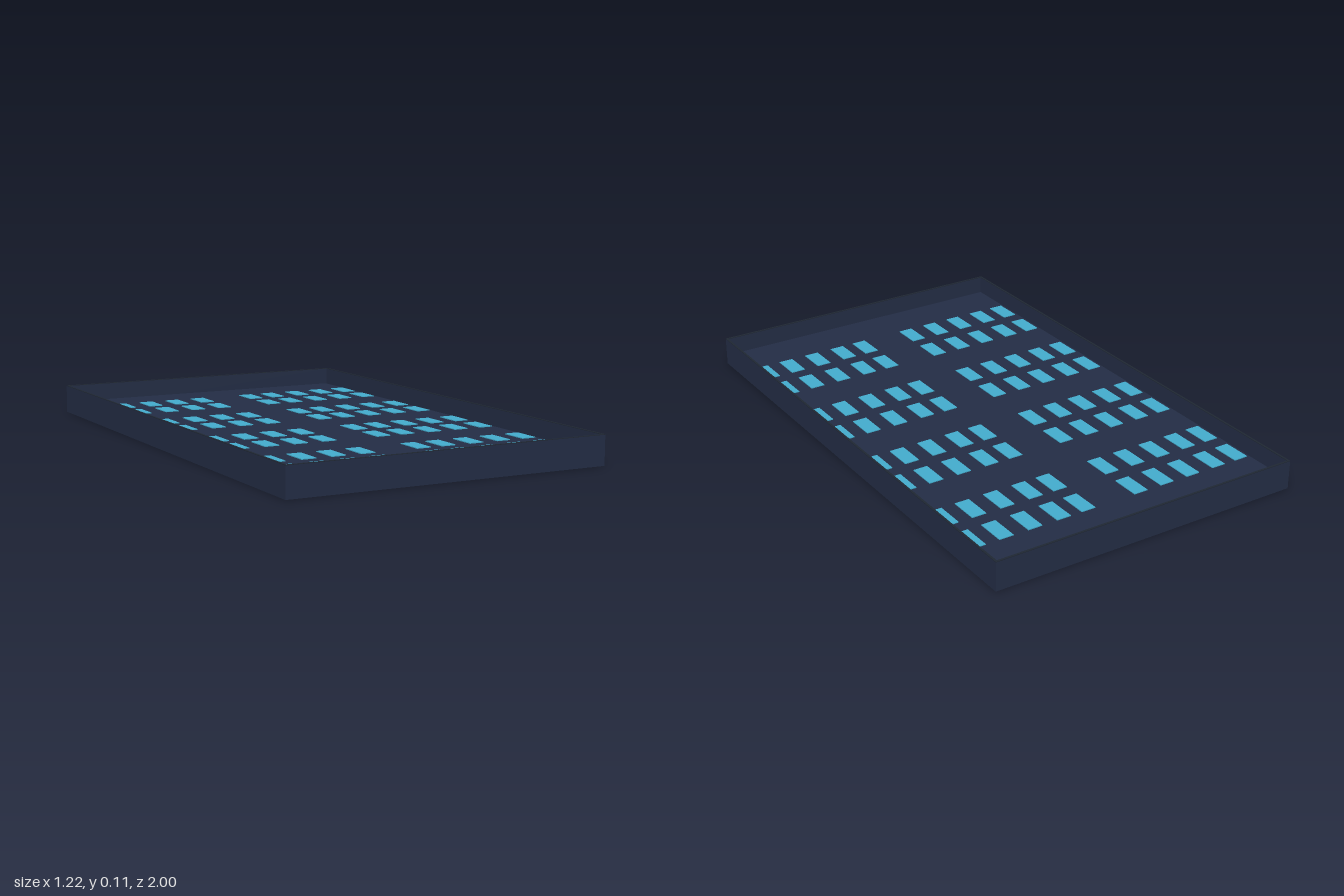
import * as THREE from 'three';

const W = 1.22, L = 2, H = 0.11, WALL = 0.008, FLOOR = 0.04, PANEL = 0.045;

export function createModel() {
  const model = new THREE.Group();
  model.name = 'windowPanelTray';
  const navy = new THREE.MeshStandardMaterial({ color: 0x232d45 });
  const dark = new THREE.MeshStandardMaterial({ color: 0x1f2733 });
  const blue = new THREE.MeshStandardMaterial({ color: 0x43accd });

  // Box resting with its underside at height y
  function box(name, w, h, d, x, y, z, material, parent = model) {
    const mesh = new THREE.Mesh(new THREE.BoxGeometry(w, h, d), material);
    mesh.name = name;
    mesh.position.set(x, y + h / 2, z);
    parent.add(mesh);
  }

  // Closed base and the slightly raised panel on it
  box('base', W - 2 * WALL, FLOOR, L - 2 * WALL, 0, 0, 0, navy);
  box('panel', W - 0.04, PANEL - FLOOR, L - 0.045, 0, FLOOR, 0, navy);

  // Thin surrounding walls with a dark top edge
  const rim = 0.002;
  for (const s of [-1, 1]) {
    const side = s > 0 ? 'left' : 'right', end = s > 0 ? 'front' : 'back';
    const x = s * (W - WALL) / 2, z = s * (L - WALL) / 2;
    box(side + 'Wall', WALL, H - rim, L, x, 0, 0, navy);
    box(side + 'Rim', WALL, rim, L, x, H - rim, 0, dark);
    box(end + 'Wall', W - 2 * WALL, H - rim, WALL, 0, 0, z, navy);
    box(end + 'Rim', W - 2 * WALL, rim, WALL, 0, H - rim, z, dark);
  }

  // Windows: four bands of two rows, five columns on each half
  const windows = new THREE.Group();
  windows.name = 'windows';
  model.add(windows);
  const columns = [-0.557, -0.454, -0.338, -0.224, -0.11, 0.112, 0.213, 0.329, 0.443, 0.552];
  for (let band = 0; band < 4; band++) {
    for (let row = 0; row < 2; row++) {
      const z = -0.752 + band * 0.444 + row * 0.167;
      for (const x of columns) box('window', 0.056, 0.003, 0.111, x, PANEL, z, blue, windows);
    }
  }
  return model;
}
